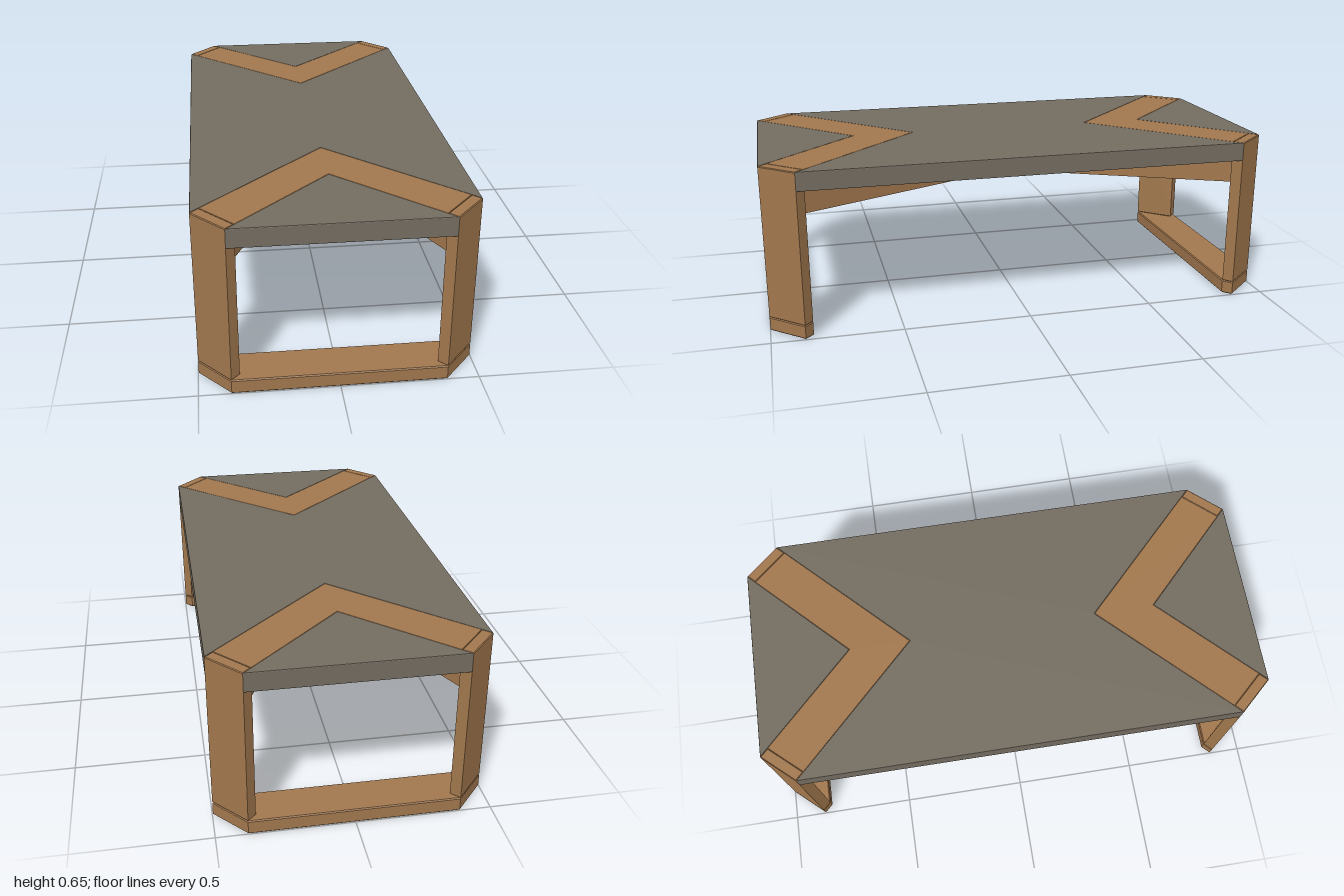
import * as THREE from 'three';

const wood = new THREE.MeshStandardMaterial({ color: 0xa1774d });
wood.name = 'warm wood';
const slate = new THREE.MeshStandardMaterial({ color: 0x736c60 });
slate.name = 'grey panel';

const TOP = 0.65, UNDER = 0.578, FOOT = 0.055, BEAM = 0.478;

// Plan outline [x, z] raised from y0 to y1, with a fine chamfer kept inside the outline
function slab(name, points, y0, y1, material, bevel = 0.002) {
  const shape = new THREE.Shape(points.map(([x, z]) => new THREE.Vector2(x, -z)));
  const geometry = new THREE.ExtrudeGeometry(shape, {
    depth: y1 - y0 - 2 * bevel,
    bevelEnabled: true,
    bevelThickness: bevel,
    bevelSize: bevel,
    bevelOffset: -bevel,
    bevelSegments: 1,
  });
  geometry.rotateX(-Math.PI / 2);
  geometry.translate(0, y0 + bevel, 0);
  const mesh = new THREE.Mesh(geometry, material);
  mesh.name = name;
  return mesh;
}

export function createModel() {
  const model = new THREE.Group();
  model.name = 'coffeeTable';

  // Leg plan: two outer corners, two inner corners
  const A = [0.498, 0.872], B = [0.384, 1], C = [0.353, 0.969], D = [0.467, 0.841];
  const apex = 0.376, notch = 0.618;
  const flip = ([x, z], sx, sz) => [x * sx, z * sz];

  // Main grey panel with a V cut into each end
  model.add(slab('mainPanel', [
    A, [0, apex], flip(A, -1, 1), flip(A, -1, -1), [0, -apex], flip(A, 1, -1),
  ], UNDER, TOP, slate));

  for (const sz of [1, -1]) {
    const end = sz > 0 ? 'front' : 'back';

    // Grey triangle inside the V
    model.add(slab(end + 'Panel', [B, [0, notch], flip(B, -1, 1)]
      .map((p) => flip(p, 1, sz)), UNDER, TOP, slate));

    // Wooden V running through the tabletop
    model.add(slab(end + 'Chevron', [
      D, C, [0, notch], flip(C, -1, 1), flip(D, -1, 1), [0, apex],
    ].map((p) => flip(p, 1, sz)), UNDER, TOP, wood, 0.001));

    // Floor rail joining the two legs
    model.add(slab(end + 'FloorRail', [
      A, B, flip(B, -1, 1), flip(A, -1, 1), flip(D, -1, 1), D,
    ].map((p) => flip(p, 1, sz)), 0, FOOT, wood, 0.004));

    // Upright legs across the cut corners
    for (const sx of [1, -1]) {
      model.add(slab(end + (sx > 0 ? 'Left' : 'Right') + 'Leg',
        [A, B, C, D].map((p) => flip(p, sx, sz)), FOOT, TOP, wood, 0.003));
    }
  }

  // Crossed beams under the tabletop, from leg to opposite leg
  const reach = [0.425, 0.92];
  for (const side of [1, -1]) {
    const beam = new THREE.Mesh(
      new THREE.BoxGeometry(0.1, UNDER - BEAM, 2 * Math.hypot(...reach)), wood);
    beam.position.y = (UNDER + BEAM) / 2;
    beam.rotation.y = side * Math.atan2(reach[0], reach[1]);
    beam.name = side > 0 ? 'crossBeamA' : 'crossBeamB';
    model.add(beam);
  }

  return model;
}
